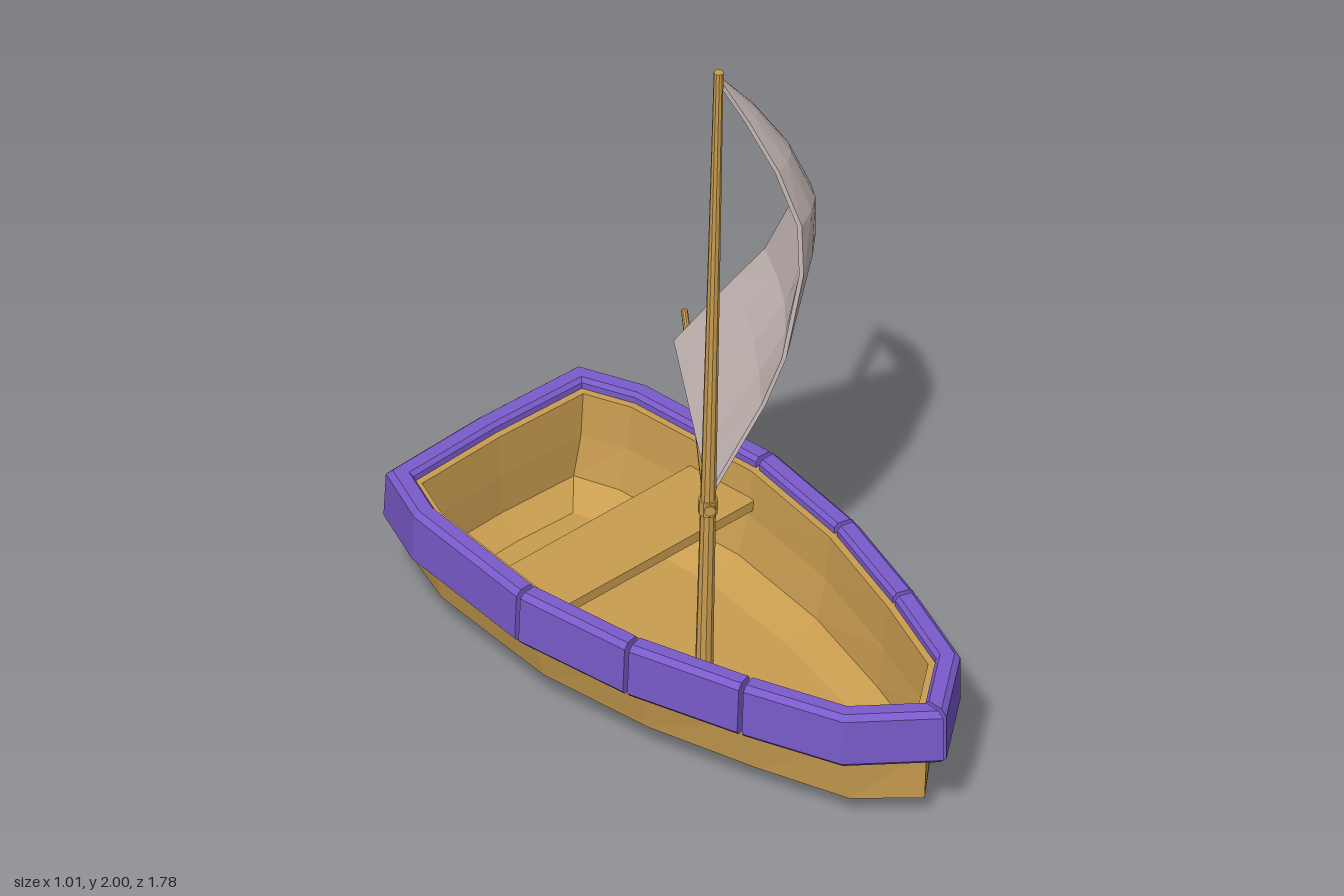
import * as THREE from 'three';

const paint = (color) => new THREE.MeshStandardMaterial({ color, flatShading: true });
const wood = paint(0xc99d50);
const purple = paint(0x7a5bcb);
const cloth = paint(0xcdbfbc);
cloth.side = THREE.DoubleSide;

// Half of the gunwale outline as [x, z], bow to stern, then mirrored to a loop
const half = [[0, 0.89], [0.215, 0.72], [0.32, 0.44], [0.42, 0.11], [0.47, -0.25], [0.428, -0.69], [0.35, -0.88]];
const outline = [...half, [0, -0.892], ...half.slice(1).reverse().map(([x, z]) => [-x, z])];
const N = outline.length;

// Mitred inset of the outline
function inset(d) {
  const normal = (a, b) => new THREE.Vector2(b[1] - a[1], a[0] - b[0]).normalize();
  return outline.map((p, i) => {
    const n1 = normal(outline[(i + N - 1) % N], p);
    const n2 = normal(p, outline[(i + 1) % N]);
    const m = n1.clone().add(n2).normalize();
    const k = d / m.dot(n2);
    return [p[0] + m.x * k, p[1] + m.y * k];
  });
}

// Skin a list of closed rings and cap both ends
function loft(rings) {
  const n = rings[0].length, pos = [], idx = [];
  rings.forEach((r) => r.forEach((p) => pos.push(...p)));
  for (let i = 0; i < rings.length - 1; i++) {
    for (let j = 0; j < n; j++) {
      const k = (j + 1) % n, a = i * n, b = a + n;
      idx.push(a + j, a + k, b + k, a + j, b + k, b + j);
    }
  }
  [0, rings.length - 1].forEach((r, end) => {
    const c = pos.length / 3;
    pos.push(...[0, 1, 2].map((q) => rings[r].reduce((s, p) => s + p[q], 0) / n));
    for (let j = 0; j < n; j++) {
      const a = r * n + j, b = r * n + ((j + 1) % n);
      idx.push(c, end ? a : b, end ? b : a);
    }
  });
  const g = new THREE.BufferGeometry();
  g.setAttribute('position', new THREE.Float32BufferAttribute(pos, 3));
  g.setIndex(idx);
  const flat = g.toNonIndexed();
  flat.computeVertexNormals();
  return flat;
}

function add(parent, name, geometry, material) {
  const mesh = new THREE.Mesh(geometry, material);
  mesh.name = name;
  parent.add(mesh);
  return mesh;
}

// Tapered round pole between two points
function pole(parent, name, a, b, r0, r1) {
  const from = new THREE.Vector3(...a), to = new THREE.Vector3(...b);
  const dir = to.clone().sub(from);
  const mesh = add(parent, name, new THREE.CylinderGeometry(r1, r0, dir.length(), 10), wood);
  mesh.position.copy(from).add(to).multiplyScalar(0.5);
  mesh.quaternion.setFromUnitVectors(new THREE.Vector3(0, 1, 0), dir.normalize());
}

// Hull shell: up the outside, over the top edge, down the inside to the floor
function buildHull(boat) {
  const level = ([d, y, sx]) => inset(d).map(([x, z]) => [x * sx, y, z]);
  add(boat, 'hull', loft([
    [0.17, 0.032, 0.86], [0.06, 0.085, 0.9], [0.058, 0.24, 0.98], [0.05, 0.37, 1],
    [0.085, 0.37, 1], [0.09, 0.24, 0.98], [0.09, 0.12, 0.9], [0.16, 0.07, 0.8],
  ].map(level)), wood);
  add(boat, 'bottomPlate', loft([[0.175, 0.019, 0.84], [0.175, 0.036, 0.84]].map(level)), wood);
}

// Padded gunwale, split into blocks with narrow gaps
function buildRail(boat) {
  const section = [
    [0.018, 0.4], [0.003, 0.385], [0, 0.25], [0.01, 0.238],
    [0.058, 0.238], [0.068, 0.25], [0.065, 0.388], [0.055, 0.4],
  ].map(([d, y]) => ({ y, path: inset(d) }));
  [[0, 2], [2, 3], [3, 4], [4, 10], [10, 11], [11, 12], [12, 14]].forEach(([s, e]) => {
    const rings = [];
    for (let i = s; i <= e; i++) rings.push(section.map(({ y, path }) => [path[i % N][0], y, path[i % N][1]]));
    // Pull both ends back along the block
    const trim = (ring, next) => {
      const dir = new THREE.Vector3(...next[2]).sub(new THREE.Vector3(...ring[2])).setLength(0.007);
      ring.forEach((p) => { p[0] += dir.x; p[2] += dir.z; });
    };
    trim(rings[0], rings[1]);
    trim(rings[rings.length - 1], rings[rings.length - 2]);
    add(boat, 'railBlock', loft(rings), purple);
  });
}

// Billowing sail: rows of [y, luff x, luff z, leech x, leech z]
function buildSail(parent) {
  const rows = [
    [0.605, -0.02, -0.01, 0.4, -0.565], [0.88, 0.09, 0.075, 0.437, -0.38],
    [1.03, 0.125, 0.115, 0.443, -0.27], [1.3, 0.158, 0.147, 0.39, -0.11],
    [1.46, 0.153, 0.145, 0.332, -0.045], [1.64, 0.105, 0.11, 0.232, -0.015],
    [1.81, 0.04, 0.065, 0.11, 0.005], [1.975, -0.036, 0.025, -0.03, 0.018],
  ];
  const cols = 4, thick = 0.012;
  const rings = rows.map(([y, x0, z0, x1, z1], i) => {
    const belly = 0.04 * Math.sin((Math.PI * i) / (rows.length - 1));
    const side = (off) => Array.from({ length: cols + 1 }, (_, c) => {
      const u = c / cols, b = belly * Math.sin(Math.PI * u) + off;
      return [x0 + (x1 - x0) * u + 0.76 * b, y, z0 + (z1 - z0) * u + 0.65 * b];
    });
    return [...side(0), ...side(-thick).reverse()];
  });
  add(parent, 'sail', loft(rings), cloth);
}

export function createModel() {
  const model = new THREE.Group();
  model.name = 'sailboat';

  // Boat body, pitched slightly down at the bow
  const boat = new THREE.Group();
  boat.name = 'boat';
  boat.position.x = -0.043;
  boat.rotation.set(0.028, -0.018, 0);
  model.add(boat);
  buildHull(boat);
  buildRail(boat);
  const bench = add(boat, 'bench', new THREE.BoxGeometry(0.77, 0.03, 0.225), wood);
  bench.position.set(0, 0.275, -0.345);

  // Rigging
  pole(model, 'mast', [-0.045, 0.06, -0.019], [-0.045, 2, 0.035], 0.024, 0.013);
  pole(model, 'boom', [-0.062, 0.583, 0.02], [0.5, 0.61, -0.642], 0.016, 0.009);
  pole(model, 'boomCollar', [-0.045, 0.56, -0.005], [-0.045, 0.605, -0.004], 0.026, 0.026);
  buildSail(model);
  return model;
}
